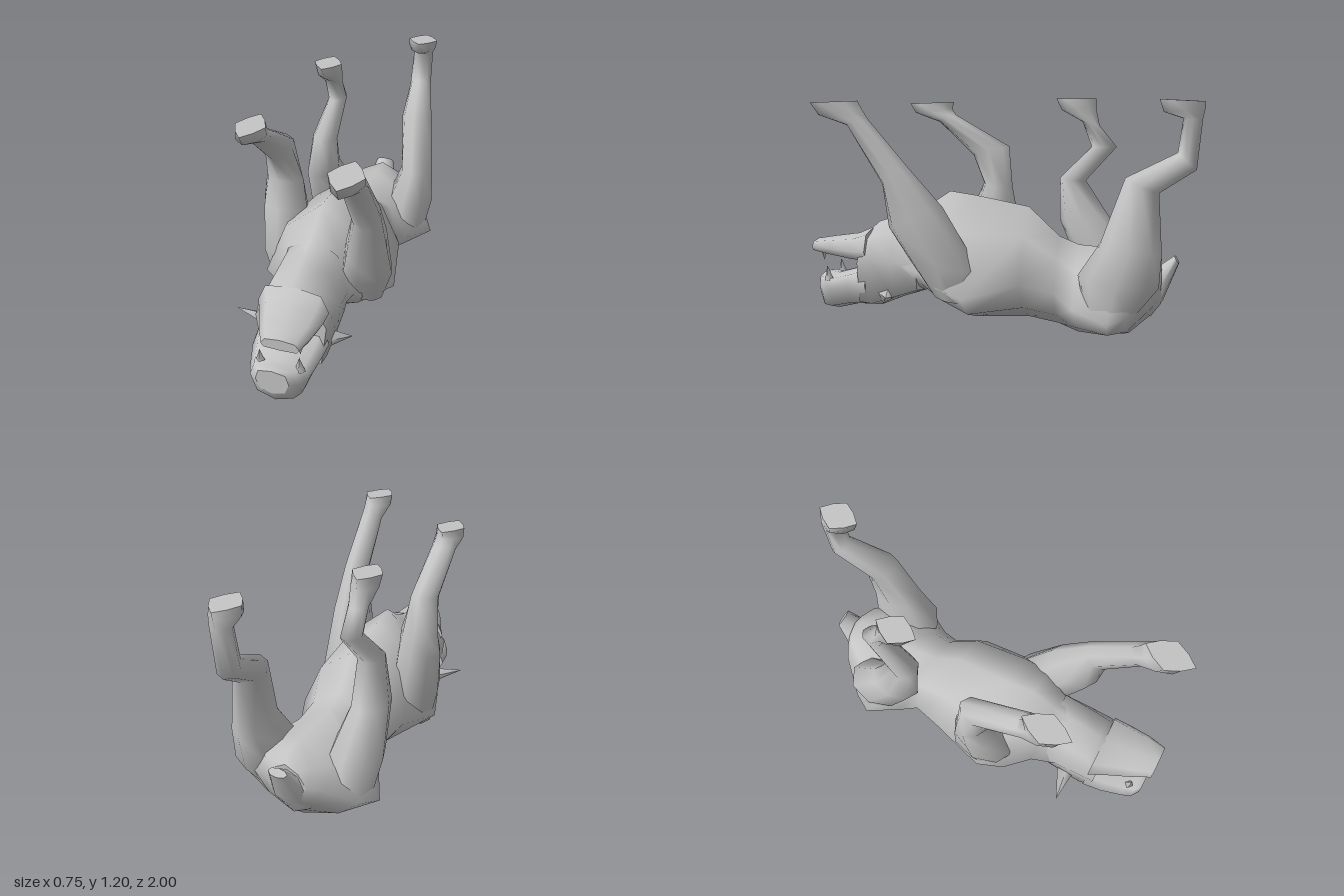
import * as THREE from 'three';

const SIDES = 8;
const hide = new THREE.MeshStandardMaterial({ color: 0xc4c4c4 });
hide.name = 'grey hide';

// Skin a closed tube through rings: c centre, a half width, up and down reach,
// kt and kb push the upper and lower corners out (boxy) or in (pointed)
function loft(name, rings) {
  const pos = [], idx = [];
  for (const { c, a, up, down, kt, kb } of rings) {
    for (let i = 0; i < SIDES; i++) {
      const t = (i / SIDES) * Math.PI * 2;
      const k = i % 2 ? (i < 4 ? kt : kb) : 1;
      const u = Math.cos(t) * k, v = Math.sin(t) * k;
      const b = i <= 4 ? up : down;
      pos.push(c[0] + a * u, c[1] + b[0] * v, c[2] + b[1] * v);
    }
  }
  for (let r = 0; r < rings.length - 1; r++) {
    for (let i = 0; i < SIDES; i++) {
      const j = (i + 1) % SIDES, p = r * SIDES, q = p + SIDES;
      idx.push(p + i, p + j, q + j, p + i, q + j, q + i);
    }
  }
  // End caps get their own vertices so their rims stay crisp
  [0, rings.length - 1].forEach((r, end) => {
    const base = pos.length / 3;
    for (let i = 0; i < SIDES * 3; i++) pos.push(pos[r * SIDES * 3 + i]);
    for (let i = 1; i < SIDES - 1; i++) {
      if (end) idx.push(base, base + i, base + i + 1);
      else idx.push(base, base + i + 1, base + i);
    }
  });
  // Turn the faces outward if the rings ran the other way
  let volume = 0;
  const p = (k) => new THREE.Vector3().fromArray(pos, k * 3);
  for (let k = 0; k < idx.length; k += 3) volume += p(idx[k]).dot(p(idx[k + 1]).cross(p(idx[k + 2])));
  if (volume < 0) idx.reverse();
  const g = new THREE.BufferGeometry();
  g.setAttribute('position', new THREE.Float32BufferAttribute(pos, 3));
  g.setIndex(idx);
  g.computeVertexNormals();
  const mesh = new THREE.Mesh(g, hide);
  mesh.name = name;
  return mesh;
}

// Upright rings along z: [z, yBottom, yTop, yWidest, xMin, xMax]
const alongZ = (name, kt, kb, rows) => loft(name, rows.map(([z, y0, y1, yw, x0, x1]) => ({
  c: [(x0 + x1) / 2, yw, z],
  a: (x1 - x0) / 2,
  up: [y1 - yw, 0],
  down: [yw - y0, 0],
  kt, kb,
})));

// Limb rings: [zFront, yFront, zBack, yBack, xMin, xMax, corner push]
const limb = (name, rows) => loft(name, rows.map(([zf, yf, zb, yb, x0, x1, k = 1]) => {
  const half = [(yf - yb) / 2, (zf - zb) / 2];
  return {
    c: [(x0 + x1) / 2, (yf + yb) / 2, (zf + zb) / 2],
    a: (x1 - x0) / 2,
    up: half, down: half, kt: k, kb: k,
  };
}));

// Four-sided spike from a base point to a tip
function spike(name, from, to, radius) {
  const a = new THREE.Vector3(...from), b = new THREE.Vector3(...to);
  const dir = b.clone().sub(a);
  const mesh = new THREE.Mesh(new THREE.ConeGeometry(radius, dir.length(), 4), hide);
  mesh.position.copy(a).add(b).multiplyScalar(0.5);
  mesh.quaternion.setFromUnitVectors(new THREE.Vector3(0, 1, 0), dir.normalize());
  mesh.name = name;
  return mesh;
}

export function createModel() {
  const beast = new THREE.Group();
  beast.name = 'beastOnItsBack';

  // Trunk from neck to rump, belly upward, broad at shoulders and haunches
  beast.add(alongZ('torso', 0.9, 0.87, [
    [0.52, 0.15, 0.59, 0.35, -0.18, 0.18],
    [0.40, 0.19, 0.64, 0.32, -0.21, 0.21],
    [0.28, 0.12, 0.72, 0.27, -0.31, 0.31],
    [0.14, 0.05, 0.70, 0.22, -0.35, 0.34],
    [-0.14, 0.07, 0.65, 0.30, -0.28, 0.29],
    [-0.30, 0.04, 0.50, 0.25, -0.23, 0.23],
    [-0.40, 0.00, 0.46, 0.18, -0.27, 0.27],
    [-0.57, 0.00, 0.45, 0.145, -0.355, 0.375],
    [-0.66, 0.01, 0.45, 0.17, -0.30, 0.33],
    [-0.78, 0.12, 0.44, 0.28, -0.17, 0.20],
    [-0.82, 0.17, 0.40, 0.30, -0.10, 0.11],
  ]));
  beast.add(limb('tail', [
    [-0.68, 0.34, -0.77, 0.10, -0.12, 0.12],
    [-0.80, 0.36, -0.83, 0.19, -0.09, 0.09],
    [-0.88, 0.42, -0.905, 0.385, -0.05, 0.05],
  ]));

  // Head: skull, snout below and open jaw above
  beast.add(alongZ('skull', 0.95, 1.2, [
    [0.42, 0.19, 0.62, 0.36, -0.18, 0.19],
    [0.55, 0.14, 0.585, 0.36, -0.18, 0.19],
    [0.67, 0.09, 0.55, 0.37, -0.18, 0.185],
    [0.74, 0.10, 0.49, 0.35, -0.17, 0.18],
  ]));
  beast.add(alongZ('snout', 1.15, 1.05, [
    [0.70, 0.09, 0.33, 0.23, -0.18, 0.18],
    [0.80, 0.09, 0.29, 0.22, -0.165, 0.175],
    [0.91, 0.065, 0.26, 0.20, -0.13, 0.16],
    [0.96, 0.07, 0.27, 0.19, -0.11, 0.13],
    [0.99, 0.13, 0.26, 0.20, -0.07, 0.09],
  ]));
  beast.add(alongZ('jaw', 1.1, 1.2, [
    [0.70, 0.35, 0.52, 0.41, -0.17, 0.18],
    [0.78, 0.36, 0.485, 0.41, -0.13, 0.18],
    [0.90, 0.38, 0.47, 0.42, -0.08, 0.17],
    [1.00, 0.40, 0.455, 0.42, -0.03, 0.15],
  ]));
  for (const x of [-0.03, 0.13]) beast.add(spike('jawFang', [x, 0.42, 0.94], [x, 0.35, 0.94], 0.022));
  for (const x of [-0.07, 0.12]) beast.add(spike('snoutFang', [x, 0.24, 0.92], [x, 0.32, 0.93], 0.026));
  beast.add(spike('rightEar', [-0.13, 0.19, 0.58], [-0.33, 0.26, 0.61], 0.05));
  beast.add(spike('leftEar', [0.13, 0.18, 0.60], [0.25, 0.19, 0.56], 0.05));

  // Legs, from inside the body up to the flat of the paw
  beast.add(limb('leftFrontLeg', [
    [0.31, 0.22, 0.15, 0.18, 0.14, 0.30],
    [0.44, 0.40, 0.07, 0.35, 0.10, 0.355],
    [0.53, 0.56, 0.25, 0.67, 0.16, 0.36],
    [0.55, 0.78, 0.42, 0.87, 0.22, 0.355],
    [0.73, 1.07, 0.62, 1.10, 0.22, 0.345],
    [0.88, 1.12, 0.65, 1.15, 0.21, 0.36, 0.9],
    [0.92, 1.18, 0.67, 1.19, 0.21, 0.37, 0.8],
  ]));
  beast.add(limb('rightFrontLeg', [
    [0.24, 0.18, 0.06, 0.18, -0.32, -0.14],
    [0.30, 0.38, -0.05, 0.38, -0.365, -0.12],
    [0.22, 0.60, -0.02, 0.62, -0.38, -0.15],
    [0.16, 0.74, 0.00, 0.72, -0.37, -0.17],
    [0.22, 0.89, 0.02, 0.94, -0.345, -0.21],
    [0.41, 1.07, 0.32, 1.11, -0.34, -0.21],
    [0.55, 1.12, 0.34, 1.14, -0.35, -0.20, 0.9],
    [0.58, 1.17, 0.33, 1.18, -0.35, -0.20, 0.8],
  ]));
  beast.add(limb('leftHindLeg', [
    [-0.46, 0.15, -0.70, 0.16, 0.12, 0.33],
    [-0.42, 0.35, -0.81, 0.30, 0.10, 0.36],
    [-0.53, 0.52, -0.82, 0.47, 0.16, 0.34],
    [-0.64, 0.83, -0.80, 0.76, 0.14, 0.31],
    [-0.88, 0.95, -0.97, 0.87, 0.13, 0.25],
    [-0.90, 1.11, -0.99, 1.11, 0.14, 0.25],
    [-0.81, 1.14, -1.00, 1.16, 0.12, 0.27, 0.9],
    [-0.79, 1.20, -1.00, 1.19, 0.12, 0.28, 0.8],
  ]));
  beast.add(limb('rightHindLeg', [
    [-0.46, 0.15, -0.68, 0.16, -0.31, -0.12],
    [-0.36, 0.34, -0.70, 0.36, -0.35, -0.08],
    [-0.27, 0.55, -0.53, 0.58, -0.32, -0.14],
    [-0.27, 0.78, -0.41, 0.77, -0.27, -0.13],
    [-0.44, 0.95, -0.57, 0.95, -0.23, -0.13],
    [-0.39, 1.08, -0.48, 1.06, -0.23, -0.13],
    [-0.28, 1.14, -0.46, 1.15, -0.25, -0.11, 0.9],
    [-0.25, 1.20, -0.46, 1.20, -0.26, -0.11, 0.8],
  ]));
  return beast;
}
